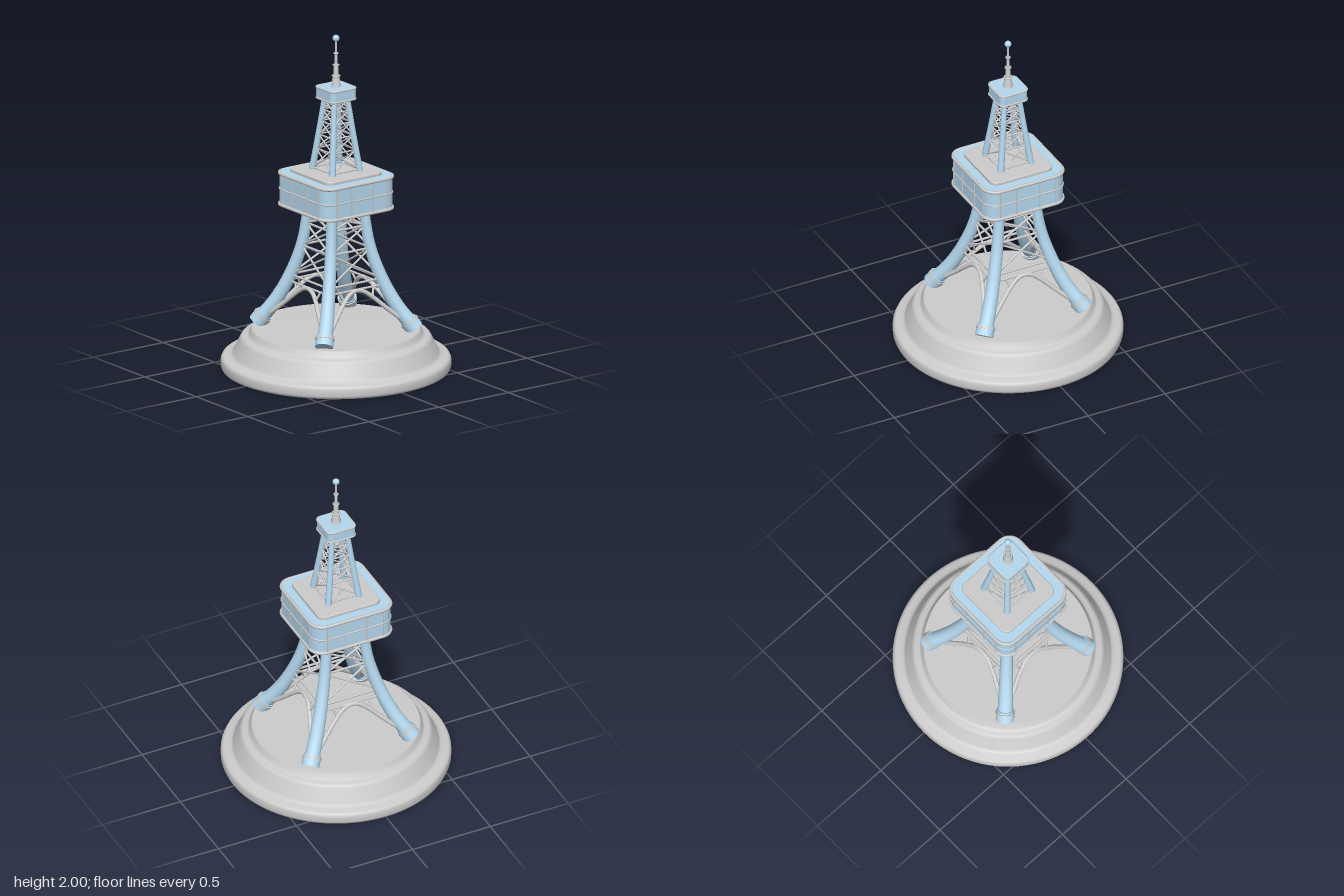
import * as THREE from 'three';

const grey = new THREE.MeshStandardMaterial({ color: 0xcccccc });
const blue = new THREE.MeshStandardMaterial({ color: 0xb4d7ee });
const V = (x, y, z) => new THREE.Vector3(x, y, z);

function add(parent, name, geometry, material) {
  const mesh = new THREE.Mesh(geometry, material);
  mesh.name = name;
  parent.add(mesh);
  return mesh;
}

// Straight round bar between two points
function bar(parent, name, a, b, r, material = grey, sides = 8) {
  const mesh = add(parent, name, new THREE.CylinderGeometry(r, r, a.distanceTo(b), sides), material);
  mesh.position.copy(a).lerp(b, 0.5);
  mesh.quaternion.setFromUnitVectors(V(0, 1, 0), b.clone().sub(a).normalize());
  return mesh;
}

// Tube whose radius runs from r0 to r1
function taperedTube(curve, r0, r1, segments = 32, sides = 20) {
  const geometry = new THREE.TubeGeometry(curve, segments, 1, sides);
  const pos = geometry.attributes.position;
  const v = V();
  for (let i = 0; i < pos.count; i++) {
    const t = Math.floor(i / (sides + 1)) / segments;
    const c = curve.getPointAt(t);
    v.fromBufferAttribute(pos, i).sub(c).multiplyScalar(r0 + (r1 - r0) * t).add(c);
    pos.setXYZ(i, v.x, v.y, v.z);
  }
  return geometry;
}

// Square outline with rounded corners
function roundedSquare(h, r) {
  const s = new THREE.Shape();
  s.moveTo(h, r - h);
  s.absarc(h - r, h - r, r, 0, Math.PI / 2);
  s.absarc(r - h, h - r, r, Math.PI / 2, Math.PI);
  s.absarc(r - h, r - h, r, Math.PI, Math.PI * 1.5);
  s.absarc(h - r, r - h, r, Math.PI * 1.5, Math.PI * 2);
  return s;
}

// Horizontal rounded slab from y0 to y1
function slab(parent, name, h, r, y0, y1, material, bevel = 0.006) {
  const geometry = new THREE.ExtrudeGeometry(roundedSquare(h - bevel, r - bevel), {
    depth: y1 - y0 - 2 * bevel, bevelSize: bevel, bevelThickness: bevel, bevelSegments: 3, curveSegments: 10,
  });
  geometry.rotateX(-Math.PI / 2).translate(0, y0 + bevel, 0);
  return add(parent, name, geometry, material);
}

// Round rail following a rounded square
function rail(parent, name, h, r, y, thickness) {
  const pts = roundedSquare(h, r).getPoints(8).map((p) => V(p.x, y, -p.y));
  pts.pop();
  const path = new THREE.CurvePath();
  pts.forEach((p, i) => path.add(new THREE.LineCurve3(p, pts[(i + 1) % pts.length])));
  path.closePath();
  add(parent, name, new THREE.TubeGeometry(path, 120, thickness, 8, true), grey);
}

// Distance of a leg's centre line from the axis at height y
function offsetAt(curve, y) {
  let lo = 0, hi = 1;
  for (let i = 0; i < 24; i++) {
    const mid = (lo + hi) / 2;
    if (curve.getPoint(mid).y < y) lo = mid; else hi = mid;
  }
  return curve.getPoint(lo).x;
}

// Cross-braced lattice on one face
function lattice(parent, curve, levels, r) {
  levels.forEach((y, i) => {
    const d = offsetAt(curve, y);
    bar(parent, 'crossBeam', V(-d, y, d), V(d, y, d), r);
    if (i === levels.length - 1) return;
    const y2 = levels[i + 1];
    const d2 = offsetAt(curve, y2);
    for (const s of [-1, 1]) bar(parent, 'diagonalBrace', V(s * d, y, d), V(-s * d2, y2, d2), r * 0.9);
  });
}

export function createModel() {
  const model = new THREE.Group();
  model.name = 'latticeTower';

  // Stepped round pedestal
  const profile = [
    [0, 0], [0.645, 0], [0.659, 0.006], [0.665, 0.02], [0.665, 0.055], [0.658, 0.07], [0.645, 0.077],
    [0.618, 0.08], [0.615, 0.085], [0.602, 0.085], [0.592, 0.1], [0.555, 0.178], [0.546, 0.193], [0.53, 0.2],
    [0.508, 0.2], [0.504, 0.212], [0.494, 0.222], [0.49, 0.238], [0.483, 0.244], [0, 0.244],
  ].map(([x, y]) => new THREE.Vector2(x, y));
  add(model, 'pedestal', new THREE.LatheGeometry(profile, 96), grey);

  // Leg centre lines
  const lowerCurve = new THREE.CatmullRomCurve3(
    [[0.32, 0.265], [0.25, 0.39], [0.188, 0.55], [0.14, 0.74], [0.113, 0.98]].map(([d, y]) => V(d, y, d)));
  const upperCurve = new THREE.CatmullRomCurve3(
    [[0.1, 1.17], [0.072, 1.4], [0.046, 1.63]].map(([d, y]) => V(d, y, d)));

  // Legs with footings, one per corner
  for (let i = 0; i < 4; i++) {
    const corner = new THREE.Group();
    corner.name = 'cornerLegs';
    corner.rotation.y = i * Math.PI / 2;
    model.add(corner);
    add(corner, 'lowerLeg', taperedTube(lowerCurve, 0.045, 0.029), blue);
    add(corner, 'upperLeg', taperedTube(upperCurve, 0.02, 0.016, 16, 14), blue);
    const foot = lowerCurve.getPoint(0);
    const dir = lowerCurve.getTangent(0);
    const along = (t) => foot.clone().addScaledVector(dir, t);
    bar(corner, 'footing', along(-0.012), along(0.03), 0.053, blue, 28);
    bar(corner, 'footCollar', along(0.03), along(0.044), 0.056, grey, 28);
    bar(corner, 'footBand', along(0.044), along(0.056), 0.05, blue, 28);
  }

  // Lattice and arch on each face
  for (let i = 0; i < 4; i++) {
    const face = new THREE.Group();
    face.name = 'faceLattice';
    face.rotation.y = i * Math.PI / 2;
    model.add(face);
    lattice(face, lowerCurve, [0.55, 0.73, 0.865, 0.945], 0.007);
    lattice(face, upperCurve, [1.2, 1.315, 1.4, 1.48, 1.55, 1.61], 0.005);
    const d = offsetAt(lowerCurve, 0.515);
    bar(face, 'archBeam', V(-d, 0.515, d), V(d, 0.515, d), 0.007);
    const arch = [[-0.275, 0.3], [-0.18, 0.385], [-0.1, 0.46], [-0.05, 0.497], [0, 0.51],
      [0.05, 0.497], [0.1, 0.46], [0.18, 0.385], [0.275, 0.3]]
      .map(([x, y]) => V(x, y, offsetAt(lowerCurve, y)));
    add(face, 'arch', new THREE.TubeGeometry(new THREE.CatmullRomCurve3(arch), 48, 0.013, 10), grey);
    for (const s of [-1, 1]) {
      bar(face, 'archStrut', V(s * 0.1, 0.46, offsetAt(lowerCurve, 0.46)), V(s * 0.12, 0.515, d), 0.007);
    }
    // Window posts of the main deck
    for (const x of [-0.18, -0.075, 0.075, 0.18]) {
      const post = add(face, 'windowPost', new THREE.BoxGeometry(0.008, 0.18, 0.01), grey);
      post.position.set(x, 1.07, 0.256);
    }
  }

  // Main deck
  slab(model, 'mainDeck', 0.256, 0.08, 0.972, 1.17, blue);
  rail(model, 'deckBottomRail', 0.256, 0.08, 0.977, 0.01);
  rail(model, 'deckMiddleRail', 0.256, 0.08, 1.07, 0.005);
  rail(model, 'deckTopRail', 0.256, 0.08, 1.163, 0.01);
  slab(model, 'deckRoof', 0.2, 0.045, 1.16, 1.19, grey);

  // Upper deck
  slab(model, 'upperDeck', 0.09, 0.03, 1.615, 1.692, blue, 0.004);
  rail(model, 'upperDeckBottomRail', 0.089, 0.03, 1.622, 0.006);
  rail(model, 'upperDeckTopRail', 0.089, 0.03, 1.686, 0.006);

  // Spire with rings and ball
  const spire = [[0.03, 1.685], [0.03, 1.7], [0.025, 1.705], [0.02, 1.755], [0.016, 1.757], [0.013, 1.82],
    [0.01, 1.822], [0.008, 1.89], [0.006, 1.892], [0.005, 1.975]].map(([x, y]) => new THREE.Vector2(x, y));
  add(model, 'spire', new THREE.LatheGeometry(spire, 24), grey);
  for (const [y, r] of [[1.755, 0.022], [1.82, 0.016], [1.89, 0.012]]) {
    const ring = add(model, 'spireRing', new THREE.TorusGeometry(r, 0.004, 8, 24), grey);
    ring.rotation.x = Math.PI / 2;
    ring.position.y = y;
  }
  const ball = add(model, 'spireBall', new THREE.SphereGeometry(0.02, 24, 16), blue);
  ball.position.y = 1.98;

  return model;
}
